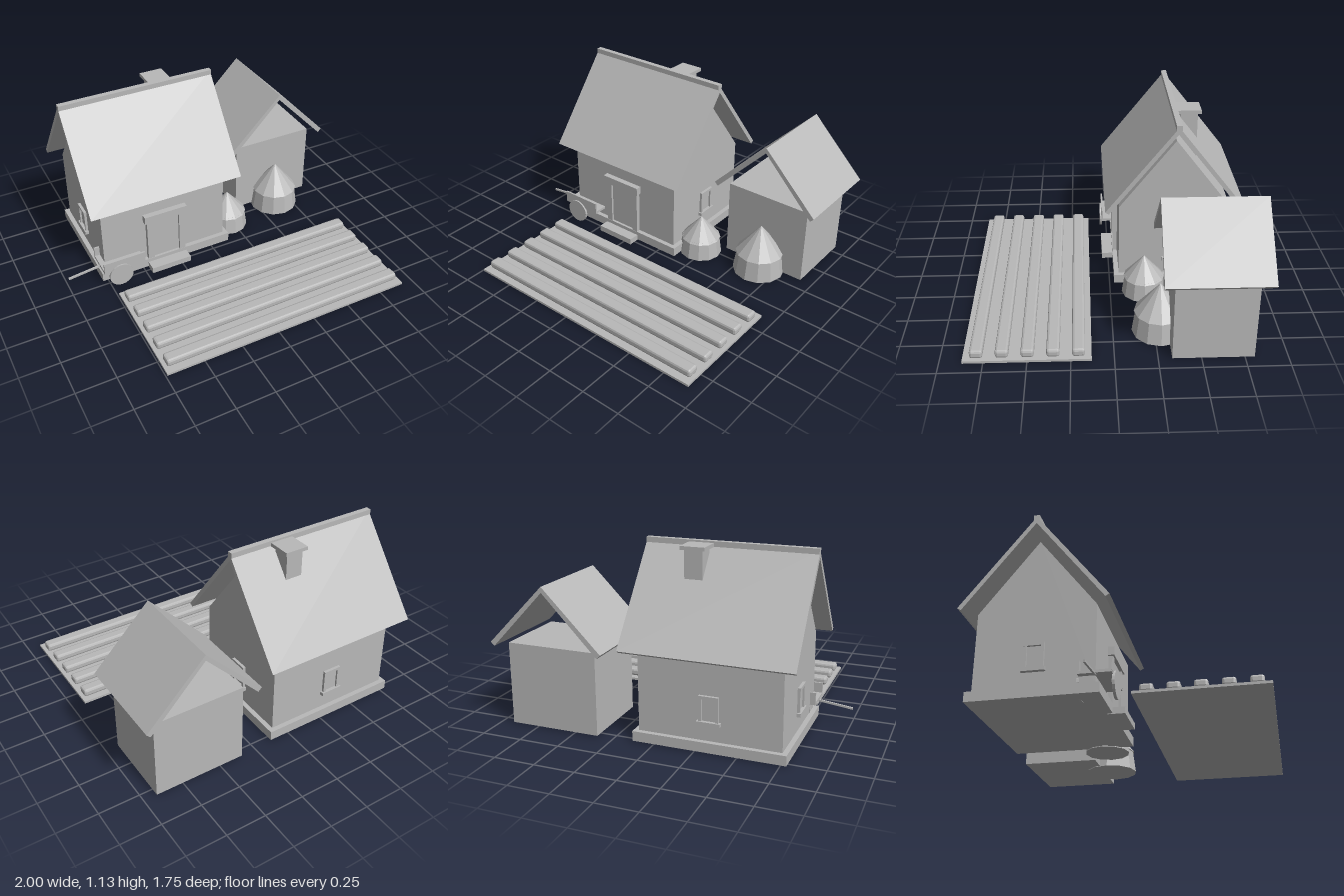
import * as THREE from 'three';
import { RoundedBoxGeometry } from 'three/addons/geometries/RoundedBoxGeometry.js';

export function createModel() {
  const root = new THREE.Group();
  const clay = new THREE.MeshStandardMaterial({ color: 0xb8b8b8, flatShading: true });
  clay.name = 'plainGrey';

  const group = (name, parent = root) => {
    const g = new THREE.Group();
    g.name = name;
    parent.add(g);
    return g;
  };
  const add = (parent, name, geo) => {
    const m = new THREE.Mesh(geo, clay);
    m.name = name;
    parent.add(m);
    return m;
  };
  // Box given by its limits on each axis
  const box = (parent, name, x0, x1, y0, y1, z0, z1) => {
    const m = add(parent, name, new THREE.BoxGeometry(x1 - x0, y1 - y0, z1 - z0));
    m.position.set((x0 + x1) / 2, (y0 + y1) / 2, (z0 + z1) / 2);
    return m;
  };
  const extrude = (pts, depth) => new THREE.ExtrudeGeometry(
    new THREE.Shape(pts.map(p => new THREE.Vector2(...p))), { depth, bevelEnabled: false });
  // Pitched roof cross-section, centred on its ridge
  const chevron = (half, eave, peak, dx, dy, innerPeak) => [
    [-half, eave], [-half + dx, eave - dy], [0, innerPeak],
    [half - dx, eave - dy], [half, eave], [0, peak]];

  // House: plinth, gabled walls, roof, ridge
  const house = group('house');
  box(house, 'plinth', -0.785, 0.13, 0.005, 0.065, -0.79, -0.03);
  const walls = add(house, 'walls', extrude(
    [[-0.35, 0.05], [0.35, 0.05], [0.35, 0.55], [0, 1.0], [-0.35, 0.55]], 0.855).rotateY(Math.PI / 2));
  walls.position.set(-0.755, 0, -0.41);
  const roof = add(house, 'roof',
    extrude(chevron(0.442, 0.56, 1.12, 0.023, 0.015, 1.078), 1.025).rotateY(Math.PI / 2));
  roof.position.set(-0.84, 0, -0.412);
  box(house, 'ridgeCap', -0.84, 0.185, 1.1, 1.132, -0.43, -0.395);
  box(house, 'chimney', -0.215, -0.105, 0.75, 1.1, -0.56, -0.45);
  box(house, 'chimneyCap', -0.235, -0.085, 1.1, 1.122, -0.58, -0.433);

  // Door
  const door = group('door', house);
  box(door, 'doorPanel', -0.418, -0.235, 0.065, 0.352, -0.07, -0.047);
  for (const x of [-0.46, -0.235]) box(door, 'doorPost', x, x + 0.042, 0.065, 0.365, -0.07, -0.032);
  box(door, 'lintel', -0.476, -0.182, 0.362, 0.415, -0.07, -0.022);
  box(door, 'doorStep', -0.465, -0.19, 0, 0.04, -0.06, 0.042);

  // Windows on both gables and the back wall
  const addWindow = (x, z, turn) => {
    const w = group('window', house);
    box(w, 'pane', -0.05, 0.05, 0.18, 0.33, -0.01, 0.004);
    for (const s of [-0.05, 0.05]) box(w, 'windowSide', s - 0.009, s + 0.009, 0.18, 0.335, -0.01, 0.016);
    box(w, 'windowHead', -0.059, 0.059, 0.317, 0.335, -0.01, 0.018);
    box(w, 'sill', -0.07, 0.07, 0.163, 0.185, -0.01, 0.025);
    w.position.set(x, 0, z);
    w.rotation.y = turn;
  };
  addWindow(0.1, -0.41, Math.PI / 2);
  addWindow(-0.755, -0.41, -Math.PI / 2);
  addWindow(-0.33, -0.76, Math.PI);

  // Shed with a raised open roof
  const shed = group('shed');
  box(shed, 'shedWalls', 0.35, 0.92, 0.005, 0.513, -0.805, -0.33);
  const shedRoof = add(shed, 'shedRoof', extrude(chevron(0.36, 0.53, 0.893, 0.023, 0.023, 0.858), 0.61));
  shedRoof.position.set(0.635, 0, -0.875);

  // Haystacks: tapered drum under a cone
  const addStack = (x, z, r, drum, top) => {
    const s = group('haystack');
    const d = add(s, 'stackBody', new THREE.CylinderGeometry(r * 0.87, r, drum, 12));
    d.position.y = drum / 2;
    const c = add(s, 'stackTop', new THREE.ConeGeometry(r * 0.93, top - drum + 0.01, 12));
    c.position.y = (top + drum - 0.01) / 2;
    s.position.set(x, 0, z);
  };
  addStack(0.635, -0.28, 0.167, 0.15, 0.33);
  addStack(0.215, -0.215, 0.14, 0.125, 0.265);

  // Handcart
  const cart = group('cart');
  box(cart, 'cartBed', -0.79, -0.51, 0.115, 0.132, -0.155, 0.035);
  for (const s of [-1, 1]) {
    const z = -0.06 + s * 0.09;
    box(cart, 'cartSide', -0.79, -0.51, 0.125, 0.195, z - 0.006, z + 0.006);
    const wheel = add(cart, 'wheel', new THREE.CylinderGeometry(0.08, 0.08, 0.016, 20).rotateX(Math.PI / 2));
    wheel.position.set(-0.68, 0.08, -0.06 + s * 0.098);
  }
  const rod = add(cart, 'shaft', new THREE.BoxGeometry(0.28, 0.012, 0.012));
  rod.position.set(-0.861, 0.106, -0.06);
  rod.rotation.z = 0.12;

  // Field with five raised rows
  const field = group('field');
  box(field, 'soil', -0.74, 0.92, 0, 0.015, 0.13, 0.87);
  for (let i = 0; i < 5; i++) {
    const row = add(field, 'cropRow', new RoundedBoxGeometry(1.62, 0.05, 0.076, 1, 0.014));
    row.position.set(0.09, 0.04, 0.205 + i * 0.1465);
  }
  return root;
}
